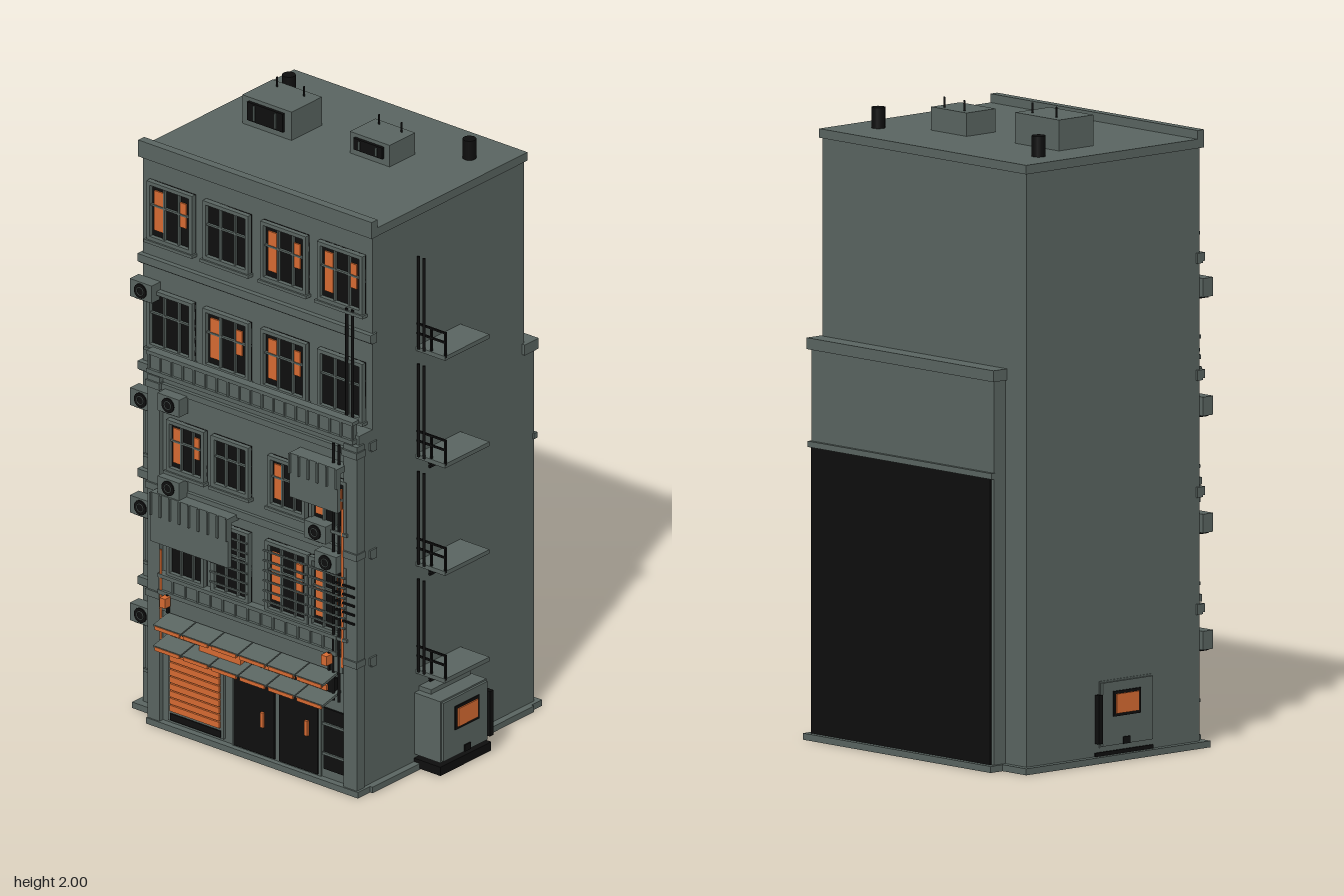
import * as THREE from 'three';

const mat = (name, color) => {
  const m = new THREE.MeshStandardMaterial({ color });
  m.name = name;
  return m;
};

export function createModel() {
  const root = new THREE.Group();
  root.name = 'cityBuilding';
  const grey = mat('concreteGrey', 0x5a6561);
  const black = mat('darkBlack', 0x0e0e0e);
  const orange = mat('warmOrange', 0xd76b32);

  const group = (name, parent = root) => {
    const g = new THREE.Group();
    g.name = name;
    parent.add(g);
    return g;
  };
  // Box from its limits on each axis (order of each pair does not matter)
  const box = (name, m, xa, xb, ya, yb, za, zb, parent = root) => {
    const b = new THREE.Mesh(new THREE.BoxGeometry(Math.abs(xb - xa), Math.abs(yb - ya), Math.abs(zb - za)), m);
    b.position.set((xa + xb) / 2, (ya + yb) / 2, (za + zb) / 2);
    b.name = name;
    parent.add(b);
    return b;
  };
  const pipe = (name, m, x, y0, y1, z, r, parent = root, sides = 8) => {
    const c = new THREE.Mesh(new THREE.CylinderGeometry(r, r, y1 - y0, sides), m);
    c.position.set(x, (y0 + y1) / 2, z);
    c.name = name;
    parent.add(c);
    return c;
  };

  // Masses, plinths and roof
  box('tallBlock', grey, -0.505, 0.405, 0, 1.85, -0.4, 0.315);
  box('lowBlock', grey, -0.41, 0.405, 0, 1.2, -0.447, 0.378);
  box('tallPlinth', grey, -0.525, 0.428, 0, 0.02, -0.42, 0.342);
  box('lowPlinth', grey, -0.42, 0.418, 0, 0.02, -0.47, 0.4);
  box('roofSlab', grey, -0.512, 0.412, 1.845, 1.873, -0.408, 0.325);
  box('frontParapet', grey, -0.512, 0.412, 1.845, 1.9, 0.3, 0.328);
  box('rearShutter', black, -0.4, 0.4, 0.02, 0.9, -0.453, -0.445);
  box('rearShutterTrim', grey, -0.412, 0.41, 0.9, 0.918, -0.458, -0.44);
  box('rearCornice', grey, -0.418, 0.416, 1.2, 1.235, -0.456, -0.39);
  for (const y of [0.43, 0.79, 1.15, 1.51]) {
    box('floorBand', grey, -0.512, 0.411, y - 0.014, y + 0.012, 0.3, 0.332);
    box('floorBandLip', grey, -0.512, 0.411, y - 0.02, y - 0.014, 0.3, 0.324);
  }

  // Window: frame, dark pane, optional curtains, glazing bars, sill
  const win = (cx, cy, w, h, z, lit = false, grille = false) => {
    const g = group('window');
    const x0 = cx - w / 2, x1 = cx + w / 2, y0 = cy - h / 2, y1 = cy + h / 2, f = 0.012;
    box('pane', black, x0, x1, y0, y1, z - 0.004, z + 0.004, g);
    for (const x of [x0, x1 - f]) box('frameSide', grey, x, x + f, y0, y1, z, z + 0.018, g);
    for (const y of [y0, y1 - f]) box('frameEdge', grey, x0, x1, y, y + f, z, z + 0.018, g);
    box('sill', grey, x0 - 0.006, x1 + 0.006, y0 - 0.01, y0, z, z + 0.024, g);
    for (const t of [0.36, 0.68]) box('mullion', grey, x0 + w * t - 0.003, x0 + w * t + 0.003, y0, y1, z, z + 0.012, g);
    box('transom', grey, x0, x1, y0 + h * 0.58, y0 + h * 0.58 + 0.006, z, z + 0.012, g);
    if (lit) {
      box('leftCurtain', orange, x0 + w * 0.13, x0 + w * 0.32, y0 + h * 0.17, y1 - h * 0.15, z + 0.004, z + 0.009, g);
      box('rightCurtain', orange, x0 + w * 0.7, x0 + w * 0.83, y0 + h * 0.38, y1 - h * 0.2, z + 0.004, z + 0.009, g);
    }
    if (grille) for (let i = 1; i < 7; i++) box('grilleBar', grey, x0, x1, y0 + (h * i) / 7, y0 + (h * i) / 7 + 0.005, z + 0.02, z + 0.026, g);
  };
  const cols = [-0.385, -0.163, 0.066, 0.29];
  cols.forEach((x, i) => {
    win(x, 1.68, 0.18, 0.195, 0.316, i !== 1);
    win(x, 1.32, 0.18, 0.195, 0.316, i === 1 || i === 2);
  });
  [0.96, 0.6, 0.24].forEach((y, i) => win(-0.4, y, 0.155, 0.19, 0.316, i < 2));
  [-0.27, -0.093, 0.13, 0.295].forEach((x, i) => {
    win(x, 0.955, 0.148, 0.17, 0.379, i !== 1);
    win(x, 0.635, i === 2 ? 0.17 : 0.148, 0.235, 0.379, i > 1, i > 0);
  });

  // Corner pilasters of the low block
  for (const [a, b] of [[-0.42, -0.372], [0.358, 0.41]]) {
    box('pilaster', grey, a, b, 0.02, 1.17, 0.36, 0.395);
    for (const y of [0.43, 0.79, 1.13]) box('pilasterCap', grey, a - 0.004, b + 0.004, y, y + 0.022, 0.36, 0.401);
  }

  // Balustrades: rails with regular posts in front of a solid band
  const balustrade = (name, x0, x1, y0, y1, z, n) => {
    const g = group(name);
    box('band', grey, x0, x1, y0, y1 - 0.012, z - 0.02, z, g);
    box('topRail', grey, x0 - 0.006, x1 + 0.006, y1 - 0.012, y1, z - 0.022, z + 0.009, g);
    box('bottomRail', grey, x0 - 0.006, x1 + 0.006, y0, y0 + 0.014, z - 0.022, z + 0.009, g);
    for (let i = 0; i <= n; i++) {
      const x = x0 + ((x1 - x0) * i) / n;
      box('post', grey, x - 0.003, x + 0.003, y0, y1, z, z + 0.006, g);
    }
  };
  balustrade('terraceBalustrade', -0.415, 0.39, 1.175, 1.25, 0.39, 18);
  balustrade('shopBalustrade', -0.365, 0.33, 0.452, 0.52, 0.397, 14);
  box('middleBand', grey, -0.37, 0.357, 0.79, 0.815, 0.37, 0.39);
  box('upperBand', grey, -0.37, 0.357, 1.13, 1.15, 0.37, 0.39);

  // Air conditioners with a round fan
  const aircon = (x, y, z) => {
    const g = group('airConditioner');
    box('case', grey, x - 0.043, x + 0.043, y - 0.029, y + 0.029, z, z + 0.042, g);
    const fan = pipe('fan', black, x, y - 0.003, y + 0.003, z + 0.043, 0.024, g, 20);
    fan.rotation.x = Math.PI / 2;
    const hub = new THREE.Mesh(new THREE.TorusGeometry(0.013, 0.0015, 6, 16), grey);
    hub.position.set(x, y, z + 0.046);
    hub.name = 'fanGuard';
    g.add(hub);
    box('bracket', black, x - 0.03, x + 0.03, y - 0.034, y - 0.029, z, z + 0.035, g);
  };
  for (const y of [0.33, 0.69, 1.05, 1.415]) aircon(-0.478, y, 0.315);
  for (const [x, y] of [[-0.31, 1.108], [-0.31, 0.83], [0.27, 0.857], [0.312, 0.768]]) aircon(x, y, 0.385);

  // Ribbed sheet-metal covers
  const cover = (x0, x1, y0, y1, n) => {
    const g = group('ribbedCover');
    box('sheet', grey, x0, x1, y0, y1, 0.415, 0.43, g);
    box('hood', grey, x0, x1, y1 - 0.02, y1, 0.375, 0.43, g);
    for (let i = 0; i <= n; i++) {
      const x = x0 + 0.003 + ((x1 - x0 - 0.006) * i) / n;
      box('rib', grey, x - 0.003, x + 0.003, y0 + (y1 - y0) * 0.55, y1, 0.43, 0.437, g);
    }
  };
  cover(-0.378, -0.07, 0.635, 0.8, 8);
  cover(0.172, 0.362, 0.948, 1.095, 5);

  // Shop front: sloping awnings with orange lips, sign boxes and lamps
  const shop = group('shopFront');
  for (const [y, x0, x1] of [[0.385, -0.34, 0.335], [0.315, -0.34, 0.335]]) {
    const n = 6, w = (x1 - x0) / n;
    for (let i = 0; i < n; i++) {
      const a = box('awningPanel', grey, x0 + i * w + 0.002, x0 + (i + 1) * w - 0.002, y - 0.004, y + 0.004, 0.375, 0.465, shop);
      a.rotation.x = 0.22;
      box('awningLip', orange, x0 + i * w + 0.008, x0 + (i + 1) * w - 0.008, y - 0.021, y - 0.009, 0.458, 0.466, shop);
    }
  }
  box('signBoard', black, -0.33, 0.32, 0.322, 0.368, 0.378, 0.4, shop);
  box('signLight', orange, -0.195, -0.03, 0.318, 0.35, 0.4, 0.42, shop);
  for (const [a, b] of [[-0.32, -0.23], [0.05, 0.17], [0.2, 0.3]]) box('signLight', orange, a, b, 0.328, 0.346, 0.4, 0.408, shop);
  box('fascia', grey, -0.37, 0.357, 0.398, 0.452, 0.37, 0.4, shop);
  for (const x of [-0.33, 0.31]) {
    box('lampArm', black, x - 0.004, x + 0.004, 0.4, 0.46, 0.395, 0.41, shop);
    box('lamp', orange, x - 0.011, x + 0.011, 0.425, 0.457, 0.405, 0.432, shop);
  }
  // Slatted orange shutter over a dark vent
  box('shutterBack', grey, -0.345, -0.125, 0.03, 0.27, 0.37, 0.386, shop);
  for (let i = 0; i < 8; i++) box('shutterSlat', orange, -0.333, -0.137, 0.066 + i * 0.024, 0.086 + i * 0.024, 0.384, 0.394, shop);
  box('shutterVent', black, -0.335, -0.135, 0.034, 0.056, 0.384, 0.39, shop);
  // Doors
  for (const [x0, x1, hx, hy] of [[-0.085, 0.077, 0.033, 0.145], [0.095, 0.248, 0.208, 0.17]]) {
    box('doorFrame', grey, x0 - 0.01, x1 + 0.01, 0.02, 0.285, 0.37, 0.383, shop);
    box('door', black, x0, x1, 0.025, 0.275, 0.382, 0.388, shop);
    box('doorHandle', orange, hx - 0.006, hx + 0.006, hy - 0.025, hy + 0.025, 0.388, 0.396, shop);
  }
  box('sideWindow', black, 0.268, 0.352, 0.05, 0.255, 0.376, 0.384, shop);
  for (const y of [0.1, 0.2]) box('sideWindowBar', grey, 0.268, 0.352, y, y + 0.008, 0.38, 0.39, shop);

  // Pipes down the facade
  for (const x of [0.32, 0.342]) {
    pipe('upperPipe', black, x, 1.2, 1.59, 0.335, 0.005);
    pipe('lowerPipe', black, x, 0.3, 1.16, 0.398, 0.005);
  }
  pipe('orangePipe', orange, 0.356, 0.42, 0.95, 0.4, 0.004);
  pipe('orangePipe', orange, -0.362, 0.3, 0.6, 0.4, 0.004);
  for (let i = 0; i < 5; i++) box('cornerGrille', black, 0.33, 0.405, 0.575 + i * 0.03, 0.581 + i * 0.03, 0.397, 0.403);

  // Side landings with end railings, riser pipes and louvres
  [0.32, 0.68, 1.04, 1.4].forEach((y, i) => {
    const g = group('sideLanding');
    box('platform', grey, 0.4, 0.52, y - 0.008, y + 0.006, -0.1, 0.11, g);
    for (const x of [0.462, 0.518]) box('railPost', black, x - 0.003, x + 0.003, y, y + 0.085, 0.102, 0.108, g);
    for (const h of [0.05, 0.082]) box('rail', black, 0.405, 0.521, y + h - 0.003, y + h + 0.003, 0.102, 0.108, g);
    for (const x of [0.415, 0.437]) pipe('riserPipe', black, x, y, y + 0.31, 0.11, 0.005, g);
    if (i < 3) for (let k = 0; k < 4; k++) box('louvre', black, 0.4, 0.413, y - 0.024 - k * 0.012, y - 0.017 - k * 0.012, -0.03, 0.052, g);
  });

  // Service cabinets on both sides
  for (const s of [1, -1]) {
    const g = group('serviceCabinet');
    box('footPlate', black, s * 0.4, s * 0.51, 0.003, 0.032, -0.12, 0.12, g);
    box('cabinet', grey, s * 0.4, s * 0.508, 0.045, 0.25, -0.1, 0.118, g);
    box('cabinetTop', grey, s * 0.4, s * 0.452, 0.25, 0.265, -0.092, 0.095, g);
    box('cabinetSide', black, s * 0.42, s * 0.522, 0.06, 0.21, -0.117, -0.1, g);
    box('cabinetDoor', grey, s * 0.508, s * 0.516, 0.05, 0.245, -0.095, 0.112, g);
    box('screenFrame', black, s * 0.514, s * 0.52, 0.138, 0.216, -0.053, 0.06, g);
    box('screen', orange, s * 0.518, s * 0.524, 0.147, 0.207, -0.043, 0.05, g);
    box('slot', black, s * 0.514, s * 0.52, 0.05, 0.072, -0.012, 0.016, g);
  }

  // Roof units with grilles and aerials, and vent stacks
  for (const [x0, x1, z0, z1, top, rods, rz] of [
    [-0.385, -0.19, -0.155, -0.012, 1.968, [-0.342, -0.235], -0.125],
    [0.002, 0.16, -0.178, -0.058, 1.945, [0.037, 0.126], -0.155]]) {
    const g = group('roofUnit'), cx = (x0 + x1) / 2, w = (x1 - x0) * 0.36;
    box('unitCase', grey, x0, x1, 1.86, top, z0, z1, g);
    box('grille', black, cx - w, cx + w, 1.895, top - 0.012, z1, z1 + 0.01, g);
    for (const t of [-0.6, 0.6]) box('grilleBar', grey, cx + w * t - 0.003, cx + w * t + 0.003, 1.9, top - 0.018, z1 + 0.008, z1 + 0.014, g);
    for (const x of rods) pipe('aerial', black, x, top, top + 0.032, rz, 0.003, g);
  }
  for (const x of [-0.413, 0.302]) pipe('ventStack', black, x, 1.86, 1.937, -0.265, 0.021, root, 20);

  return root;
}
